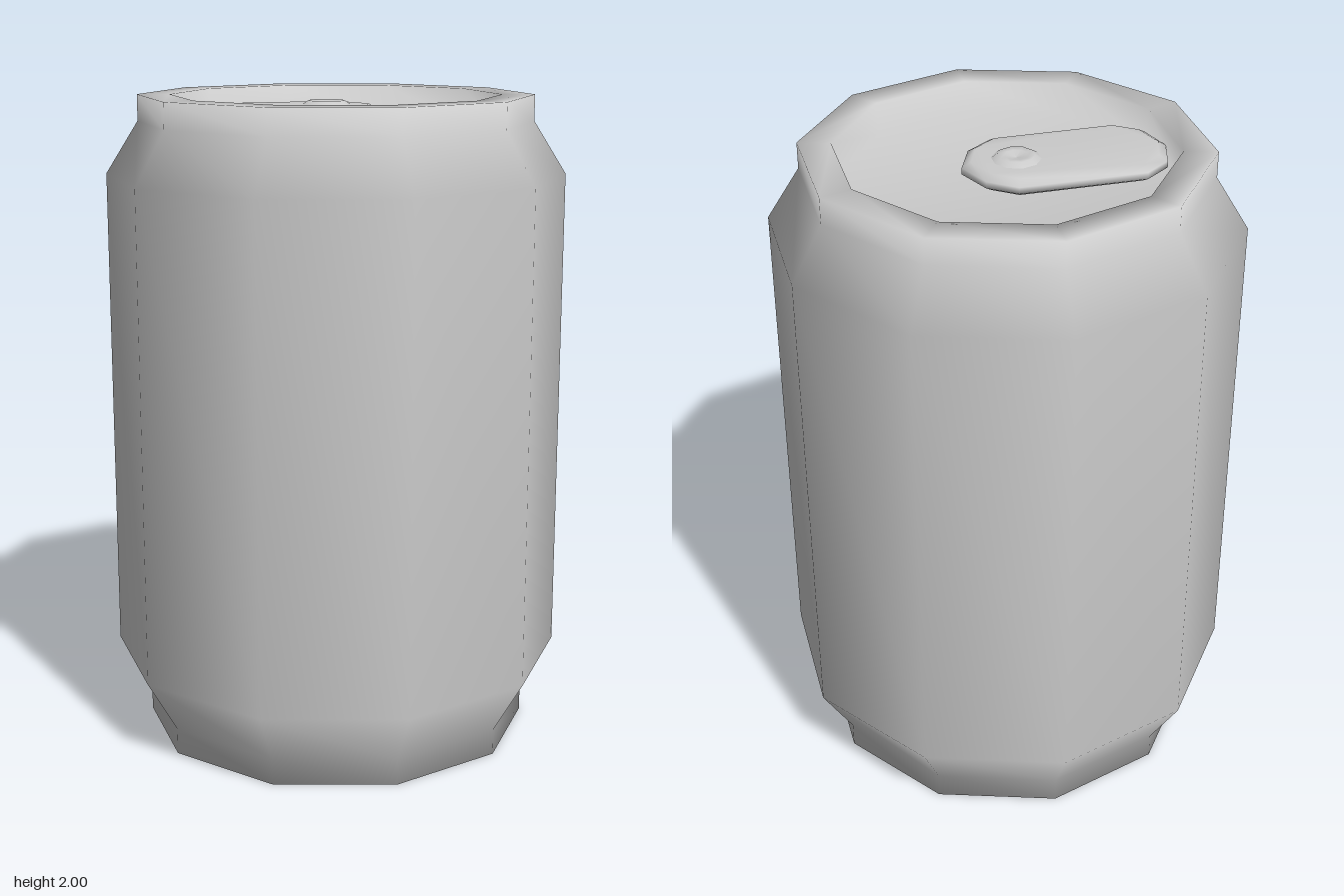
import * as THREE from 'three';
import { mergeVertices } from 'three/addons/utils/BufferGeometryUtils.js';

const material = new THREE.MeshStandardMaterial({ color: 0xcccccc });

function addMesh(parent, name, geometry) {
  const mesh = new THREE.Mesh(geometry, material);
  mesh.name = name;
  parent.add(mesh);
  return mesh;
}

const toVectors = (pairs) => pairs.map(([a, b]) => new THREE.Vector2(a, b));

// Share vertices so the shading runs smoothly over the edges
function smooth(geometry) {
  geometry.deleteAttribute('normal');
  geometry.deleteAttribute('uv');
  const merged = mergeVertices(geometry, 1e-4);
  merged.computeVertexNormals();
  return merged;
}

// Pull tab: a rounded plate with a finger hole, lying flat
function tabPlateGeometry() {
  const shape = new THREE.Shape(toVectors([
    [-0.37, -0.175], [0.01, -0.175], [0.09, -0.115], [0.135, -0.008], [0.09, 0.1],
    [0.01, 0.16], [-0.37, 0.16], [-0.45, 0.1], [-0.48, -0.008], [-0.45, -0.115],
  ]));
  shape.holes.push(new THREE.Path(toVectors([
    [-0.235, -0.112], [-0.345, -0.112], [-0.4, -0.075], [-0.43, -0.008],
    [-0.4, 0.06], [-0.345, 0.097], [-0.235, 0.097], [-0.218, -0.008],
  ])));
  const geometry = new THREE.ExtrudeGeometry(shape, {
    depth: 0.02, bevelEnabled: true, bevelThickness: 0.015,
    bevelSize: 0.025, bevelOffset: -0.025, bevelSegments: 1,
  });
  geometry.rotateX(Math.PI / 2);
  return smooth(geometry);
}

export function createModel() {
  const model = new THREE.Group();
  model.name = 'drinkCan';

  // Ten-sided shell: domed base, shoulders, rim and sunken lid in one profile
  const profile = toVectors([
    [0, 0.11], [0.3, 0.09], [0.47, 0.05], [0.555, 0],
    [0.605, 0], [0.605, 0.08], [0.705, 0.25],
    [0.705, 1.76], [0.605, 1.92], [0.605, 2],
    [0.505, 2], [0.5, 1.9], [0, 1.9],
  ]);
  addMesh(model, 'canShell', new THREE.LatheGeometry(profile, 10));

  const tab = new THREE.Group();
  tab.name = 'pullTab';
  model.add(tab);
  addMesh(tab, 'tabPlate', tabPlateGeometry()).position.y = 1.955;

  // Dimpled rivet holding the tab to the lid
  const rivet = toVectors([[0.08, 1.965], [0.055, 1.982], [0.035, 1.98], [0, 1.972]]);
  addMesh(tab, 'rivet', new THREE.LatheGeometry(rivet, 10)).position.set(-0.025, 0, -0.015);
  addMesh(tab, 'rivetStem', new THREE.CylinderGeometry(0.05, 0.05, 0.06, 10)).position.set(-0.025, 1.92, -0.015);

  return model;
}
